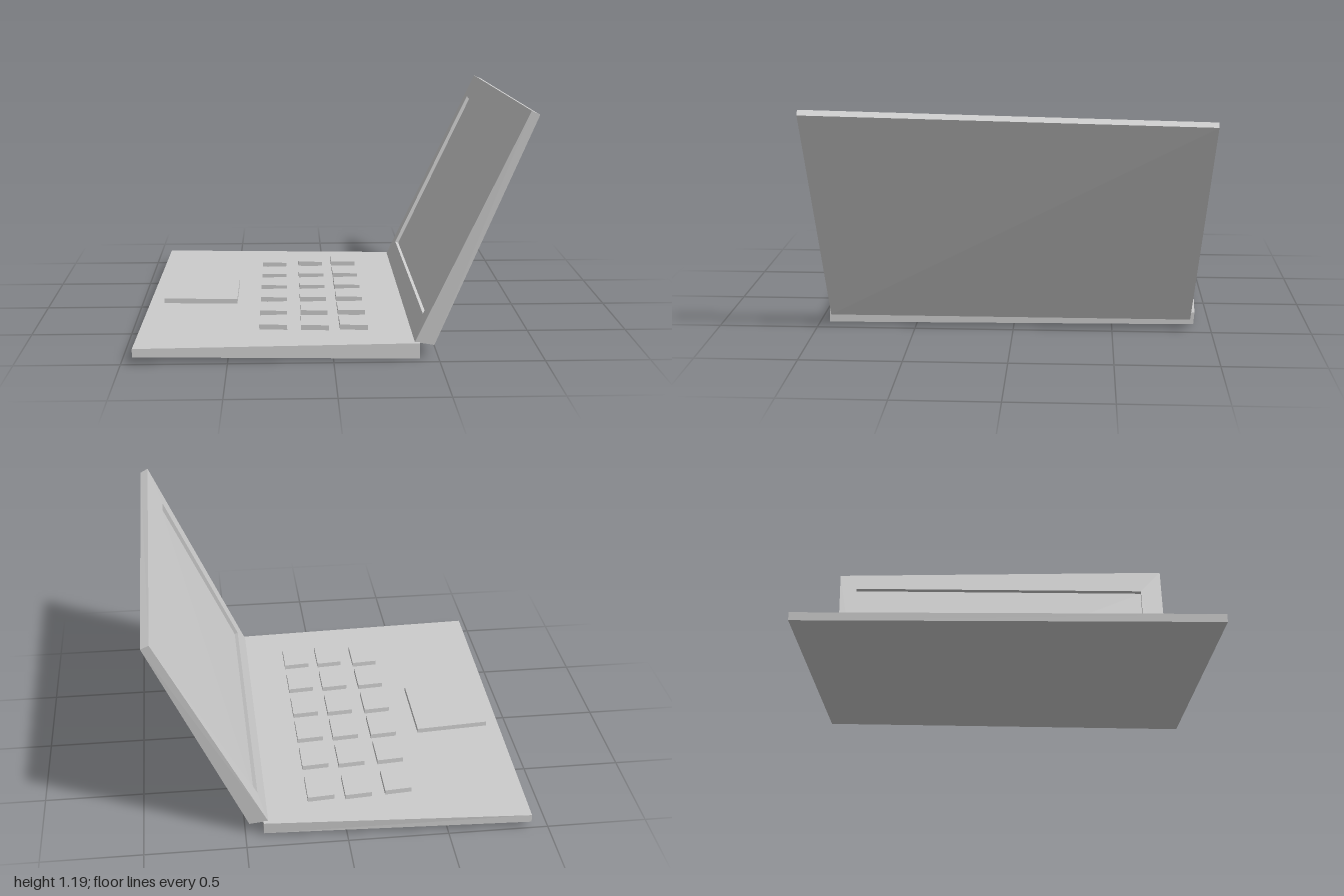
import * as THREE from 'three';

const material = new THREE.MeshStandardMaterial({ color: 0xcccccc, flatShading: true });

// Skin a series of four-cornered loops and cap both ends
function loft(name, loops) {
  const pos = [];
  const quad = (a, b, c, d) => pos.push(...a, ...b, ...c, ...a, ...c, ...d);
  for (let k = 0; k < loops.length - 1; k++) {
    for (let i = 0; i < 4; i++) {
      const j = (i + 1) % 4;
      quad(loops[k][i], loops[k][j], loops[k + 1][j], loops[k + 1][i]);
    }
  }
  quad(...[...loops[0]].reverse());
  quad(...loops[loops.length - 1]);
  const geometry = new THREE.BufferGeometry();
  geometry.setAttribute('position', new THREE.Float32BufferAttribute(pos, 3));
  geometry.computeVertexNormals();
  const mesh = new THREE.Mesh(geometry, material);
  mesh.name = name;
  return mesh;
}

// Upright slab from an [x, z] outline
const slab = (name, outline, y0, y1) =>
  loft(name, [y0, y1].map((y) => outline.map(([x, z]) => [x, y, z])));

export function createModel() {
  const group = new THREE.Group();
  group.name = 'laptop';

  // Wedge-shaped base, thicker at the hinge
  group.add(loft('base', [
    [[-0.945, 0.04, 1], [0.41, 0.004, 0.95], [0.41, 0.018, -0.915], [-0.915, 0.04, -1]],
    [[-0.945, 0.08, 1], [0.41, 0.08, 0.95], [0.41, 0.08, -0.92], [-0.915, 0.08, -1]],
  ]));

  // Lid: back, front rim, screen opening, recessed screen
  const opening = [[0.43, 0.175, -0.79], [0.435, 0.186, 0.815], [0.83, 1.028, 0.85], [0.85, 1.034, -0.86]];
  group.add(loft('lid', [
    [[0.48, 0.065, -0.893], [0.48, 0.065, 0.93], [0.945, 1.17, 0.975], [0.945, 1.128, -0.963]],
    [[0.387, 0.08, -0.9], [0.387, 0.08, 0.93], [0.905, 1.19, 0.98], [0.905, 1.146, -0.965]],
    opening,
    opening.map(([x, y, z]) => [x + 0.018, y - 0.008, z]),
  ]));

  // Touchpad
  group.add(slab('touchpad', [[-0.86, 0.2], [-0.477, 0.223], [-0.477, -0.21], [-0.86, -0.18]], 0.075, 0.105));

  // Tapered keys in three columns of six
  const keyboard = new THREE.Group();
  keyboard.name = 'keyboard';
  const columns = [
    { x: -0.355, rows: [-0.655, -0.387, -0.142, 0.106, 0.365, 0.615] },
    { x: -0.15, rows: [-0.672, -0.395, -0.142, 0.106, 0.365, 0.63] },
    { x: 0.04, rows: [-0.672, -0.395, -0.142, 0.106, 0.365, 0.63] },
  ];
  for (const { x, rows } of columns) {
    for (const z of rows) {
      const outline = [[x, z + 0.081], [x + 0.137, z + 0.093], [x + 0.137, z - 0.093], [x, z - 0.081]];
      keyboard.add(slab('key', outline, 0.075, 0.105));
    }
  }
  group.add(keyboard);
  return group;
}
